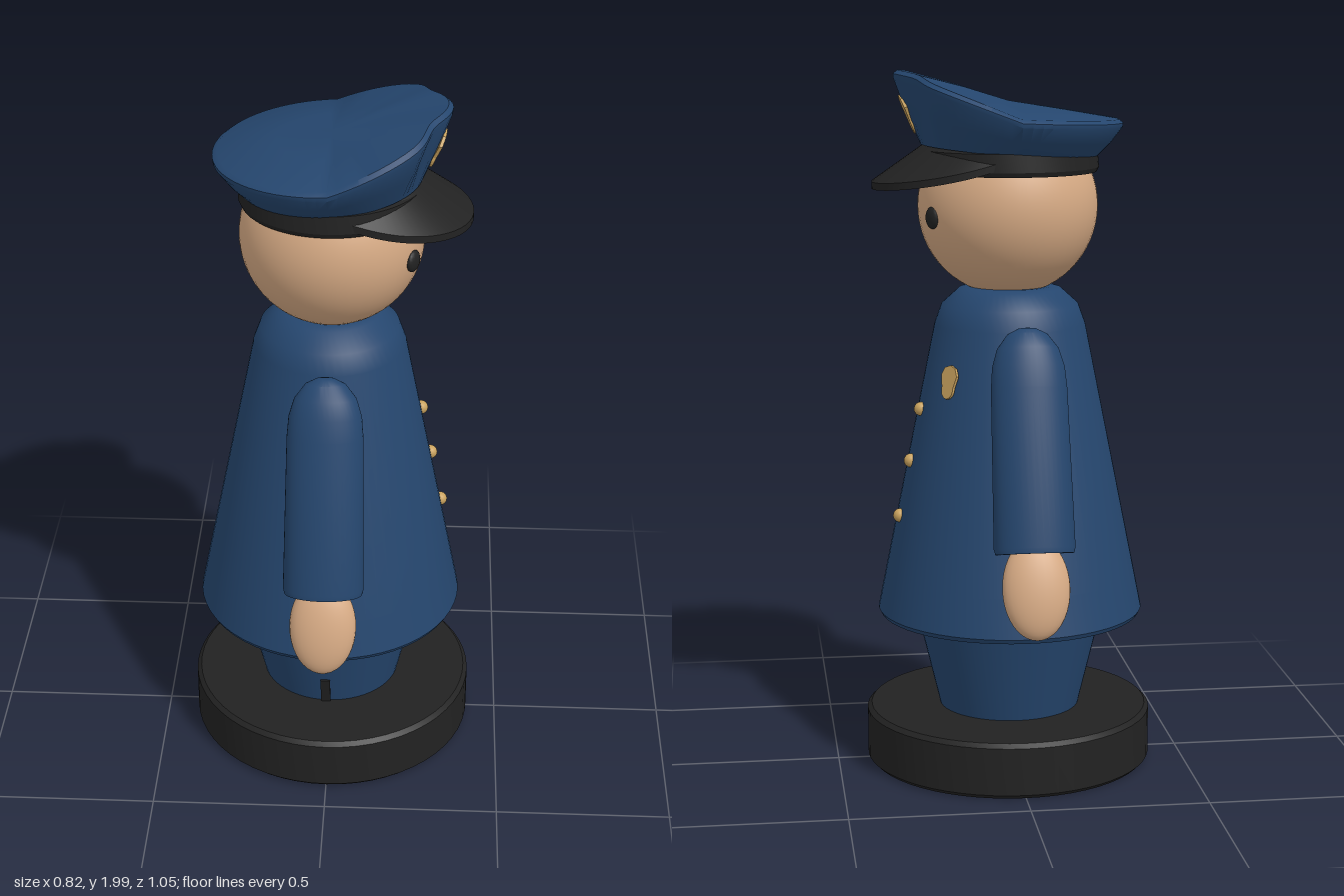
import * as THREE from 'three';
import { toCreasedNormals } from 'three/addons/utils/BufferGeometryUtils.js';

const paint = (name, color) => {
  const m = new THREE.MeshStandardMaterial({ color });
  m.name = name;
  return m;
};

// Surface from fn(i, j) -> [x, y, z]; i runs upwards, j runs from +x to +z
function surface(fn, ni, nj) {
  const pos = [], idx = [];
  for (let i = 0; i <= ni; i++) for (let j = 0; j <= nj; j++) pos.push(...fn(i, j));
  for (let i = 0; i < ni; i++) for (let j = 0; j < nj; j++) {
    const a = i * (nj + 1) + j, b = a + nj + 1;
    idx.push(a, b, a + 1, b, b + 1, a + 1);
  }
  const g = new THREE.BufferGeometry();
  g.setAttribute('position', new THREE.Float32BufferAttribute(pos, 3));
  g.setIndex(idx);
  return toCreasedNormals(g, 0.6);
}

const lathe = (pts, seg = 56) =>
  toCreasedNormals(new THREE.LatheGeometry(pts.map(p => new THREE.Vector2(...p)), seg), 0.5);

// Shield plate, w wide and h high, centred, facing +z
function shield(w, h) {
  const s = new THREE.Shape();
  s.moveTo(0, -h / 2);
  s.quadraticCurveTo(w * 0.4, -h * 0.45, w * 0.36, -h * 0.15);
  s.lineTo(w * 0.5, h * 0.2);
  s.lineTo(w * 0.33, h * 0.42);
  s.lineTo(0, h / 2);
  s.lineTo(-w * 0.33, h * 0.42);
  s.lineTo(-w * 0.5, h * 0.2);
  s.lineTo(-w * 0.36, -h * 0.15);
  s.quadraticCurveTo(-w * 0.4, -h * 0.45, 0, -h / 2);
  return new THREE.ExtrudeGeometry(s, { depth: 0.009, bevelEnabled: false, curveSegments: 6 });
}

export function createModel() {
  const model = new THREE.Group();
  const blue = paint('uniform blue', 0x25466e);
  const skin = paint('skin', 0xd6aa84);
  const black = paint('black', 0x222222);
  const gold = paint('gold', 0xc9a25e);

  const add = (name, geo, mat, x = 0, y = 0, z = 0, parent = model) => {
    const m = new THREE.Mesh(geo, mat);
    m.name = name;
    m.position.set(x, y, z);
    parent.add(m);
    return m;
  };

  // Base, legs and coat
  add('base', lathe([[0, 0], [0.4, 0], [0.412, 0.012], [0.412, 0.148], [0.4, 0.16], [0, 0.16]]), black);
  add('legs', lathe([[0, 0.15], [0.2, 0.15], [0.275, 0.46], [0, 0.46]]), blue, -0.003);
  add('legSlit', new THREE.BoxGeometry(0.028, 0.095, 0.009), black, -0.01, 0.205, 0.214).rotation.x = 0.23;
  add('coat', lathe([[0, 0.46], [0.35, 0.46], [0.36, 0.44], [0.375, 0.437], [0.382, 0.45], [0.36, 0.56],
    [0.215, 1.28], [0.195, 1.335], [0.145, 1.38], [0.12, 1.387], [0, 1.387]]), blue, -0.006, 0, 0.006);

  // Sleeves and hands
  const sleeve = lathe([[0, 0.03], [0.085, 0.03], [0.09, 0], [0.108, 0], [0.112, 0.015], [0.105, 0.45],
    [0.1, 0.51], [0.085, 0.56], [0.055, 0.6], [0.025, 0.615], [0, 0.618]], 40);
  for (const side of [1, -1]) {
    const arm = new THREE.Group();
    arm.name = side > 0 ? 'rightHandArm' : 'leftHandArm';
    arm.position.set(side > 0 ? -0.005 : -0.018, 0.71, side * 0.435);
    arm.rotation.x = -side * 0.27;
    add('sleeve', sleeve, blue, 0, 0, 0, arm).scale.z = 0.64;
    add('hand', new THREE.SphereGeometry(1, 28, 20), skin, 0, -0.095, side * 0.005, arm)
      .scale.set(0.093, 0.14, 0.05);
    model.add(arm);
  }

  // Head and eyes
  add('head', new THREE.SphereGeometry(0.255, 48, 32), skin, 0, 1.615, 0.008);
  for (const z of [0.13, -0.105]) {
    const eye = add('eye', new THREE.SphereGeometry(1, 16, 12), black, 0.224, 1.592, z);
    eye.scale.set(0.029, 0.031, 0.014);
    eye.rotation.y = Math.PI / 2 - Math.atan2(z - 0.008, 0.224);
  }

  // Cap band
  add('capBand', lathe([[0.235, 1.712], [0.25, 1.712], [0.256, 1.725], [0.252, 1.775], [0.235, 1.78]]), black)
    .material = black;

  // Visor: a sloping crescent with a closed four-point section
  const visorSpan = 1.4, visorSteps = 40;
  add('capVisor', surface((i, j) => {
    const a = visorSpan * (2 * j / visorSteps - 1);
    const w = Math.cos(a / visorSpan * Math.PI / 2);
    const outer = 0.25 + 0.135 * Math.pow(Math.max(w, 0), 1.5);
    const [r, y] = [
      [outer, 1.735 - 0.07 * w], [outer, 1.755 - 0.07 * w],
      [0.235, 1.765 + 0.025 * w], [0.235, 1.74], [outer, 1.735 - 0.07 * w],
    ][i];
    return [r * Math.cos(a), y, r * Math.sin(a)];
  }, 4, visorSteps), black);

  // Crown: flares outwards, raised at the front with two flattened corners
  const rim = c => 1.868 + (c > 0 ? 0.122 * c : 0.015 * c);
  const rings = [
    [0, () => 1.75], [0.246, c => 1.768 + 0.02 * c], [0.288, c => 0.5 * (1.768 + 0.02 * c) + 0.5 * rim(c) - 0.01],
    [0.322, c => rim(c) - 0.018], [0.323, c => rim(c) - 0.006], [0.31, c => rim(c) + 0.004],
    [0.15, c => 0.5 * rim(c) + 0.958], [0, () => 1.908],
  ];
  add('capCrown', surface((i, j) => {
    const a = (j / 72) * Math.PI * 2, c = Math.cos(a);
    const off = Math.abs(Math.atan2(Math.sin(a), c));
    const dip = 1 - 0.08 * Math.exp(-Math.pow((off - 0.42) / 0.22, 2));
    const r = rings[i][0] * (i > 1 ? dip : 1);
    return [r * c, rings[i][1](c), r * Math.sin(a)];
  }, rings.length - 1, 72), blue);

  // Badges
  const badge = (name, w, h, x, y, z, yaw, pitch) => {
    const b = add(name, shield(w, h), gold, x, y, z);
    b.rotation.set(pitch, yaw, 0, 'YXZ');
  };
  badge('capBadge', 0.1, 0.115, 0.277, 1.873, 0.008, Math.PI / 2, 0.4);
  badge('chestBadge', 0.06, 0.095, 0.182, 1.137, -0.155, Math.PI / 2 + 0.68, -0.2);

  // Coat buttons
  for (const y of [1.042, 0.893, 0.733]) {
    const r = 0.36 - (y - 0.56) * 0.2014;
    add('button', new THREE.SphereGeometry(0.02, 16, 12), gold, r - 0.009, y, -0.035);
  }
  return model;
}
